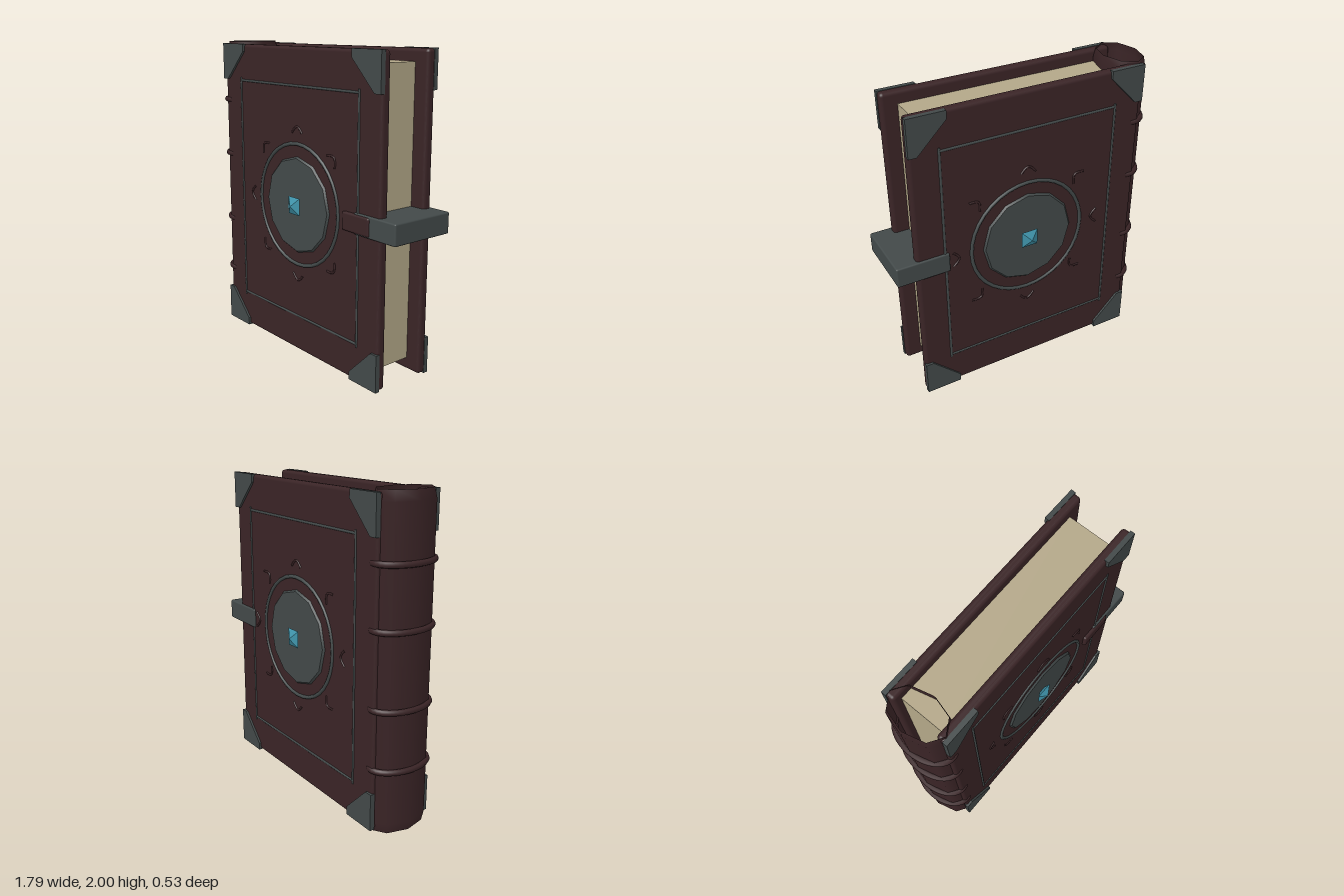
import * as THREE from 'three';
import { RoundedBoxGeometry } from 'three/addons/geometries/RoundedBoxGeometry.js';

function material(name, color, extra = {}) {
  const m = new THREE.MeshStandardMaterial({ color, ...extra });
  m.name = name;
  return m;
}

export function createModel() {
  const book = new THREE.Group();
  book.name = 'book';
  const leather = material('dark leather', 0x3a2426);
  const spineLeather = material('spine leather', 0x3a2426, { side: THREE.DoubleSide });
  const metal = material('dark metal', 0x424949);
  const paper = material('paper', 0xb3a788);
  const crystal = material('blue crystal', 0x3f94ab);

  const add = (parent, name, geometry, mat, x = 0, y = 0, z = 0) => {
    const mesh = new THREE.Mesh(geometry, mat);
    mesh.name = name;
    mesh.position.set(x, y, z);
    parent.add(mesh);
    return mesh;
  };

  // page block
  add(book, 'pages', new THREE.BoxGeometry(1.39, 1.81, 0.29), paper, -0.035, 1.005, 0);

  // hollow eight-sided spine, pinched at both ends
  const profile = [[0.92, 0], [1, 0.06], [1, 1.94], [0.92, 2]].map(([r, y]) => new THREE.Vector2(r, y));
  const spine = add(book, 'spine', new THREE.LatheGeometry(profile, 8, Math.PI / 2), spineLeather, -0.75);
  spine.scale.set(0.13, 1, 0.205);

  // raised bands around the spine, sinking into the covers
  for (const y of [0.4, 0.77, 1.235, 1.61]) {
    const points = [];
    for (let i = 0; i <= 12; i++) {
      const a = Math.PI * (0.42 + 1.16 * i / 12);
      points.push(new THREE.Vector3(-0.755 + 0.125 * Math.cos(a), y, 0.198 * Math.sin(a)));
    }
    const path = new THREE.CatmullRomCurve3(points);
    add(book, 'spineBand', new THREE.TubeGeometry(path, 24, 0.019, 8), leather);
  }

  // corner plate outline, with its outer corner at the origin
  const cornerShape = new THREE.Shape([[0, 0], [0.235, 0], [0.235, -0.05], [0.05, -0.235], [0, -0.235]]
    .map(([x, y]) => new THREE.Vector2(x, y)).reverse());
  const cornerGeometry = new THREE.ExtrudeGeometry(cornerShape, { depth: 0.03, bevelEnabled: false });

  // low chevron used around the medallion
  const chevronPath = new THREE.CatmullRomCurve3([[-0.05, -0.028], [-0.022, 0.002], [0, 0.012], [0.022, 0.002], [0.05, -0.028]]
    .map(([x, y]) => new THREE.Vector3(x, y, 0)));
  const chevronGeometry = new THREE.TubeGeometry(chevronPath, 12, 0.007, 6);

  // one decorated cover, facing +z
  const makeCover = (name) => {
    const cover = new THREE.Group();
    cover.name = name;
    add(cover, 'board', new RoundedBoxGeometry(1.54, 1.965, 0.062, 3, 0.022), leather, -0.01, 1.0025, 0.174);

    // four corner plates, turned and mirrored into place
    for (const right of [false, true]) for (const top of [false, true]) {
      const geometry = cornerGeometry.clone().scale(right ? -1 : 1, top ? 1 : -1, 1);
      if (right === top) {
        const p = geometry.attributes.position, n = geometry.attributes.normal;
        for (const attribute of [p, n]) for (let i = 0; i < attribute.count; i += 3) {
          const first = new THREE.Vector3().fromBufferAttribute(attribute, i);
          const last = new THREE.Vector3().fromBufferAttribute(attribute, i + 2);
          attribute.setXYZ(i, last.x, last.y, last.z);
          attribute.setXYZ(i + 2, first.x, first.y, first.z);
        }
      }
      add(cover, 'cornerPlate', geometry, metal, right ? 0.762 : -0.782, top ? 1.987 : 0.018, 0.19);
    }

    // rectangular border rods
    for (const x of [-0.59, 0.577]) {
      add(cover, 'borderRod', new THREE.CylinderGeometry(0.008, 0.008, 1.53, 8), metal, x, 1.005, 0.204);
    }
    for (const y of [0.26, 1.75]) {
      add(cover, 'borderRod', new THREE.CylinderGeometry(0.008, 0.008, 1.17, 8), metal, -0.006, y, 0.204)
        .rotation.z = Math.PI / 2;
    }

    // medallion: ring, bevelled twelve-sided disc and crystal
    add(cover, 'medallionRing', new THREE.TorusGeometry(0.39, 0.012, 8, 36), metal, 0.015, 1.005, 0.204);
    const disc = add(cover, 'medallion', new THREE.CylinderGeometry(0.3, 0.32, 0.022, 12), metal, 0.015, 1.005, 0.206);
    disc.rotation.x = Math.PI / 2;
    const gem = add(cover, 'crystal', new THREE.OctahedronGeometry(1), crystal, 0.015, 1.005, 0.235);
    gem.rotation.z = Math.PI / 4;
    gem.scale.set(0.078, 0.078, 0.032);

    // eight chevrons around the ring
    for (let i = 0; i < 8; i++) {
      const a = i * Math.PI / 4;
      add(cover, 'chevron', chevronGeometry, leather, 0.015 + 0.485 * Math.cos(a), 1.005 + 0.485 * Math.sin(a), 0.206)
        .rotation.z = a - Math.PI / 2;
    }
    return cover;
  };

  const front = makeCover('frontCover');
  const back = makeCover('backCover');
  // the back cover is turned around the book's middle line
  back.rotation.y = Math.PI;
  for (const part of back.children) {
    part.position.x *= -1;
    // swap the corner plates, whose shapes are left and right handed
    if (part.name === 'cornerPlate') part.position.x += part.position.x > 0 ? -1.544 + 0.02 - 0.02 : 1.544;
  }
  // settle the turned plates on the shifted board edges
  for (const part of back.children) {
    if (part.name === 'cornerPlate') part.position.x = part.position.x < 0 ? -0.762 : 0.782;
  }
  book.add(front, back);

  // clasp block with a leather strap end
  add(book, 'clasp', new RoundedBoxGeometry(0.34, 0.13, 0.436, 2, 0.01), metal, 0.722, 1.003, 0);
  add(book, 'strap', new RoundedBoxGeometry(0.23, 0.115, 0.03, 2, 0.014), leather, 0.572, 1.003, 0.212);
  return book;
}
